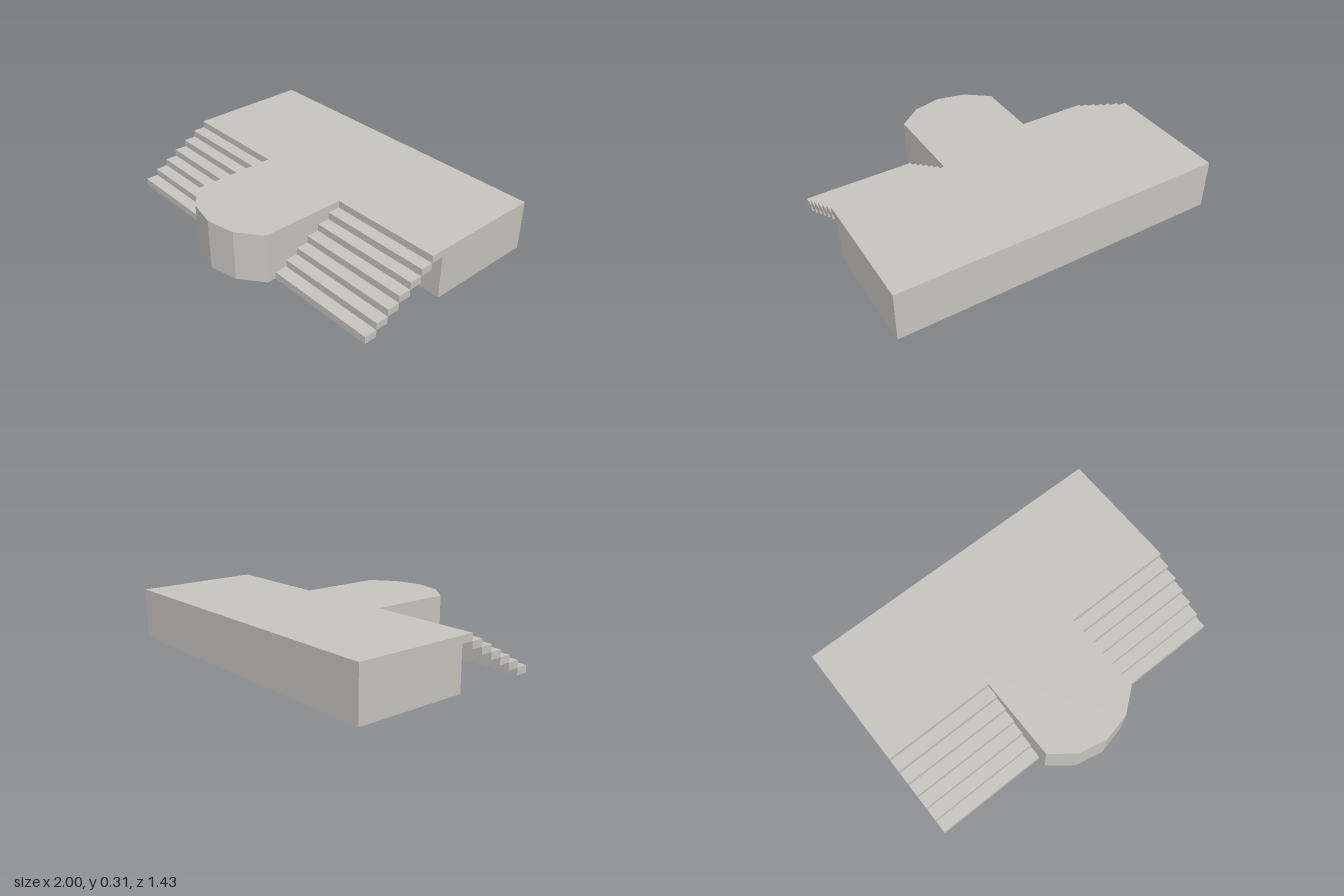
import * as THREE from 'three';

export function createModel() {
  const model = new THREE.Group();
  model.name = 'steppedPlatform';
  const stone = new THREE.MeshStandardMaterial({ color: 0xc8c6c0 });
  stone.name = 'pale stone';

  const height = 0.306, half = 0.313, wallZ = -0.027;

  // Platform with a central tongue ending in a faceted bow (plan drawn as x, -z)
  const plan = [
    [-1, -0.714], [-1, wallZ], [-half, wallZ], [-half, 0.565], [-0.172, 0.675], [0, 0.713],
    [0.172, 0.675], [half, 0.565], [half, wallZ], [1, wallZ], [1, -0.714],
  ];
  const shape = new THREE.Shape(plan.map(([x, z]) => new THREE.Vector2(x, -z)));
  const platformGeometry = new THREE.ExtrudeGeometry(shape, { depth: height, bevelEnabled: false });
  platformGeometry.rotateX(-Math.PI / 2);
  const platform = new THREE.Mesh(platformGeometry, stone);
  platform.name = 'platform';
  model.add(platform);

  // Open staircases on both sides: treads touch only along their edges
  const count = 7, rise = height / count, run = (0.511 - wallZ) / count;
  const treadGeometry = new THREE.BoxGeometry(1 - half, rise, run);
  for (const side of [-1, 1]) {
    const stairs = new THREE.Group();
    stairs.name = side > 0 ? 'leftStairs' : 'rightStairs';
    for (let i = 0; i < count; i++) {
      const tread = new THREE.Mesh(treadGeometry, stone);
      tread.name = `tread${i + 1}`;
      tread.position.set(side * (1 + half) / 2, (i + 0.5) * rise, 0.511 - (i + 0.5) * run);
      stairs.add(tread);
    }
    model.add(stairs);
  }
  return model;
}
